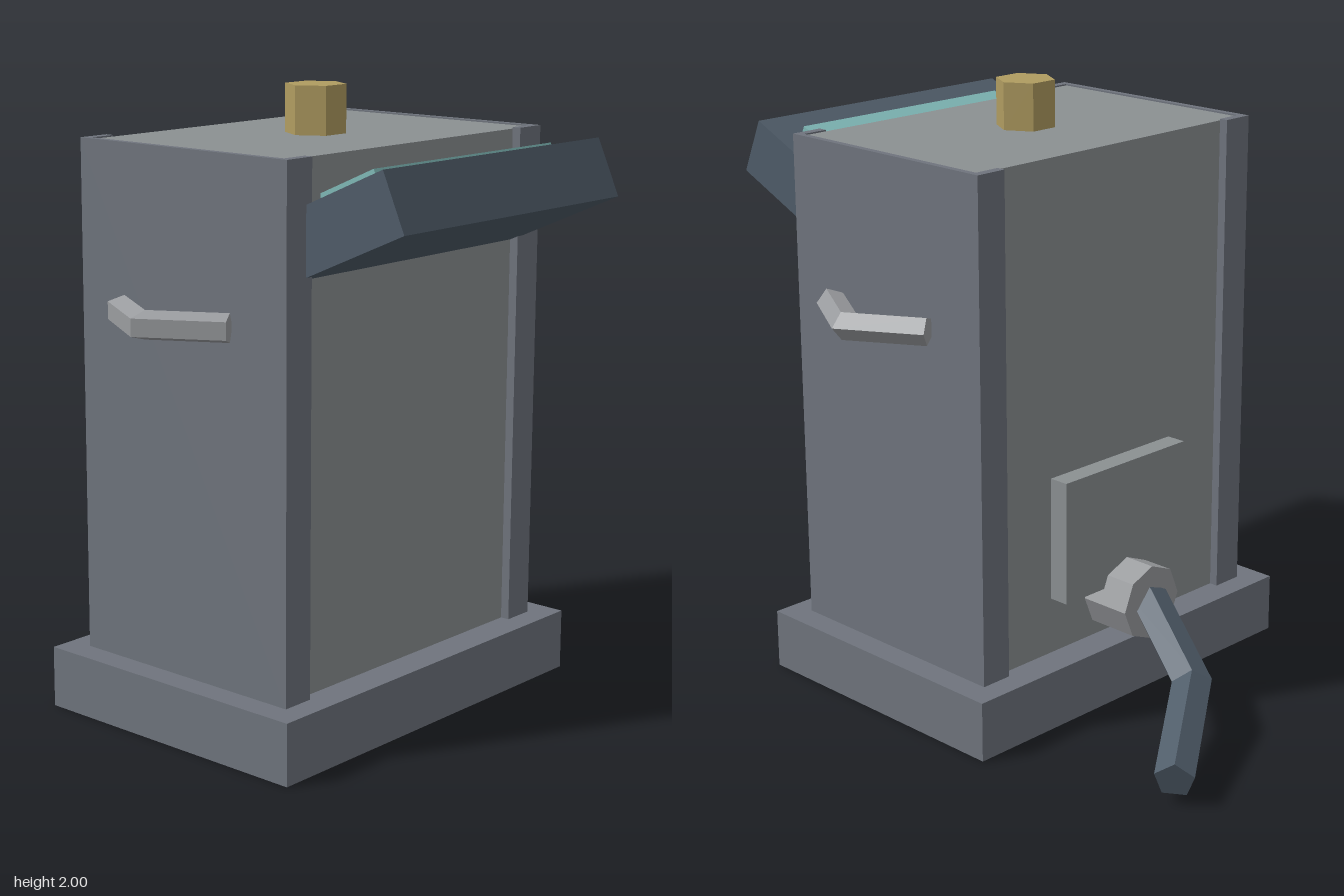
import * as THREE from 'three';

const CX = -0.005, CZ = 0.196; // centre of the cabinet
const V = (x, y, z) => new THREE.Vector3(x, y, z);
const paint = (color) => new THREE.MeshStandardMaterial({ color, flatShading: true });
const MAT = {
  frame: paint(0x6f747d),
  panel: paint(0x8b9092),
  metal: paint(0x9a9c9f),
  dark: paint(0x4f5c69),
  glass: paint(0x80bab8),
  brass: paint(0xb09c60),
};

function add(parent, name, geometry, material, x = 0, y = 0, z = 0) {
  const mesh = new THREE.Mesh(geometry, material);
  mesh.name = name;
  mesh.position.set(x, y, z);
  parent.add(mesh);
  return mesh;
}
const box = (w, h, d) => new THREE.BoxGeometry(w, h, d);

// Five-sided bar with mitred bends; the bends lie in the plane perpendicular to up
function bentBar(points, up, radius, sides = 5) {
  const last = points.length - 1;
  const dirs = points.slice(1).map((p, i) => p.clone().sub(points[i]).normalize());
  const rings = points.map((p, i) => {
    const a = dirs[Math.max(i - 1, 0)], b = dirs[Math.min(i, last - 1)];
    const tangent = a.clone().add(b).normalize();
    const side = tangent.clone().cross(up).divideScalar(tangent.dot(b));
    return Array.from({ length: sides }, (_, k) => {
      const t = (k / sides) * Math.PI * 2;
      return p.clone()
        .addScaledVector(side, radius * Math.cos(t))
        .addScaledVector(up, radius * Math.sin(t));
    });
  });
  const tris = [];
  for (let j = 0; j < last; j++) {
    for (let k = 0; k < sides; k++) {
      const n = (k + 1) % sides, r = rings[j], s = rings[j + 1];
      tris.push(r[k], s[k], s[n], r[k], s[n], r[n]);
    }
  }
  // End caps
  for (let k = 1; k < sides - 1; k++) {
    const r = rings[0], s = rings[last];
    tris.push(r[0], r[k], r[k + 1], s[0], s[k + 1], s[k]);
  }
  const geometry = new THREE.BufferGeometry().setFromPoints(tris);
  geometry.computeVertexNormals();
  return geometry;
}

export function createModel() {
  const model = new THREE.Group();
  model.name = 'machine';

  // Plinth and cabinet
  add(model, 'base', box(1.405, 0.2, 1.01), MAT.frame, CX, 0.1, CZ);
  add(model, 'cabinet', box(1.19, 1.645, 0.79), MAT.panel, CX, 1.0225, CZ);

  // C-shaped side covers wrapping the cabinet corners
  const c = [[0.507, 0.425], [0.507, 0.395], [0.595, 0.395], [0.595, -0.395],
    [0.507, -0.395], [0.507, -0.425], [0.617, -0.425], [0.617, 0.425]];
  const profile = new THREE.Shape(c.map(([x, y]) => new THREE.Vector2(x, y)));
  const cover = new THREE.ExtrudeGeometry(profile, { depth: 1.65, bevelEnabled: false });
  cover.rotateX(-Math.PI / 2);
  add(model, 'leftSideCover', cover, MAT.frame, CX, 0.2, CZ);
  add(model, 'rightSideCover', cover, MAT.frame, CX, 0.2, CZ).rotation.y = Math.PI;

  // Hexagonal cap on the roof
  const cap = new THREE.CylinderGeometry(0.098, 0.098, 0.16, 6);
  cap.rotateY(Math.PI / 2);
  add(model, 'topCap', cap, MAT.brass, -0.007, 1.92, CZ);

  // Tilted console with its display
  const tilt = THREE.MathUtils.degToRad(24);
  const consoleGroup = new THREE.Group();
  consoleGroup.name = 'console';
  consoleGroup.position.set(CX, 1.658, 0.737);
  consoleGroup.rotation.x = -tilt;
  add(consoleGroup, 'consoleHousing', box(1.065, 0.195, 0.45), MAT.dark);
  add(consoleGroup, 'display', box(0.87, 0.06, 0.34), MAT.glass, 0, 0.0985, -0.055);
  model.add(consoleGroup);

  // Side handles
  for (const s of [1, -1]) {
    const path = [V(s * 0.648 - 0.007, 1.34, CZ + 0.228), V(s * 0.783 - 0.007, 1.34, CZ),
      V(s * 0.648 - 0.007, 1.34, CZ - 0.228)];
    add(model, s > 0 ? 'leftHandle' : 'rightHandle', bentBar(path, V(0, 1, 0), 0.047), MAT.metal);
  }

  // Rear hatch, outlet collar and bent pipe
  add(model, 'rearHatch', box(0.56, 0.415, 0.08), MAT.panel, 0, 0.598, -0.228);
  const collar = new THREE.CylinderGeometry(0.128, 0.128, 0.19, 8);
  collar.rotateX(Math.PI / 2);
  add(model, 'outletCollar', collar, MAT.metal, CX, 0.343, -0.285);
  const pipe = [V(-0.02, 0.346, -0.35), V(0.138, 0.198, -0.684), V(0.495, 0.088, -0.93)];
  add(model, 'outletPipe', bentBar(pipe, V(0, Math.cos(tilt), -Math.sin(tilt)), 0.065), MAT.dark);

  return model;
}
